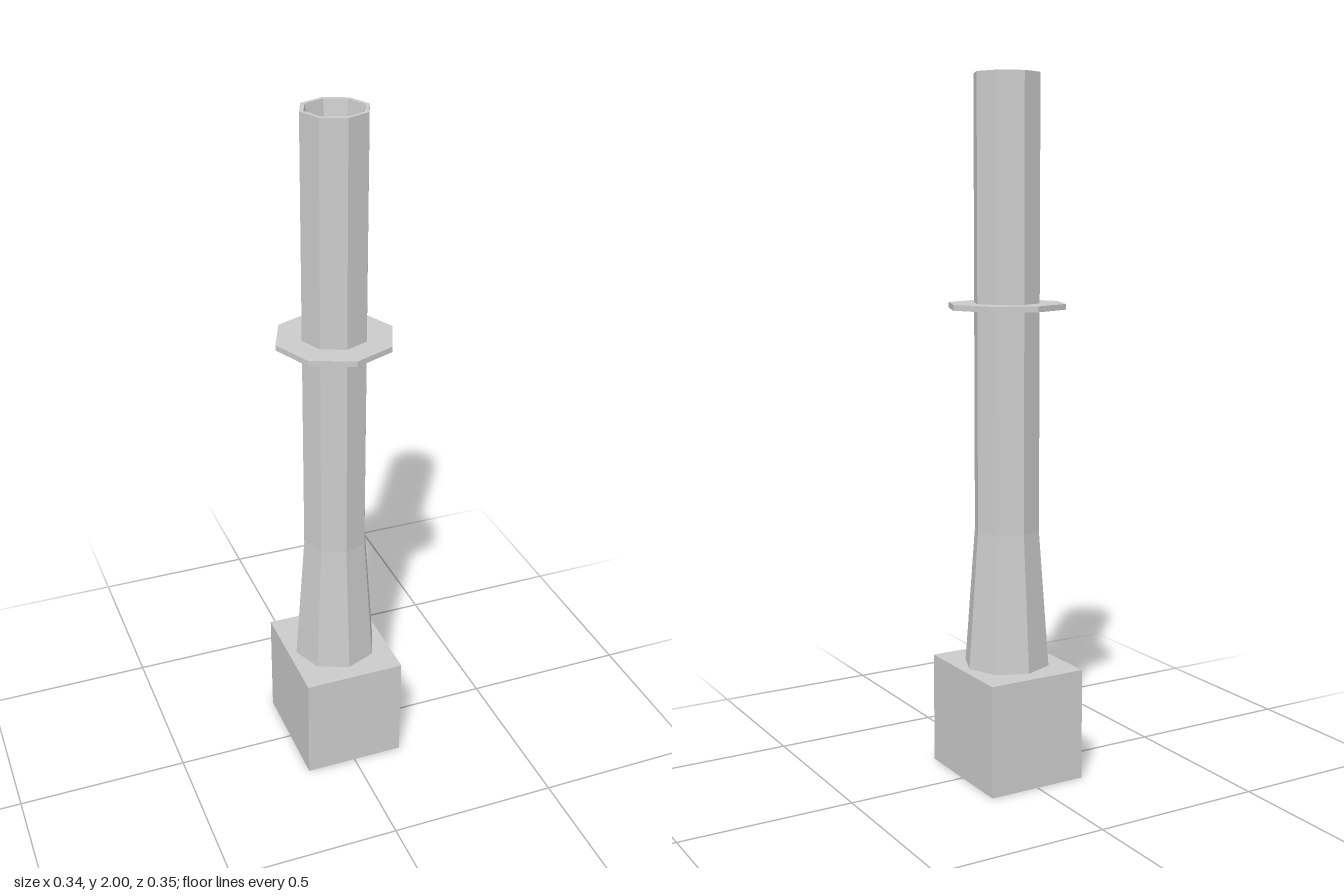
import * as THREE from 'three';

const SIDES = 8;

export function createModel() {
  const model = new THREE.Group();
  const material = new THREE.MeshStandardMaterial({ color: 0xcccccc, flatShading: true });

  const add = (name, geometry, y = 0) => {
    const mesh = new THREE.Mesh(geometry, material);
    mesh.name = name;
    mesh.position.y = y;
    model.add(mesh);
  };

  // Rectangular plinth
  add('base', new THREE.BoxGeometry(0.298, 0.324, 0.346), 0.162);

  // Octagonal column: flared foot, straight shaft, thin rim and tapering hollow
  const profile = [
    [0.125, 0.32], [0.095, 0.72], [0.095, 2], [0.083, 2], [0, 1.36],
  ].map(([r, y]) => new THREE.Vector2(r, y));
  add('column', new THREE.LatheGeometry(profile, SIDES));

  // Thin octagonal collar around the shaft
  add('collar', new THREE.CylinderGeometry(0.17, 0.17, 0.016, SIDES), 1.362);

  return model;
}
